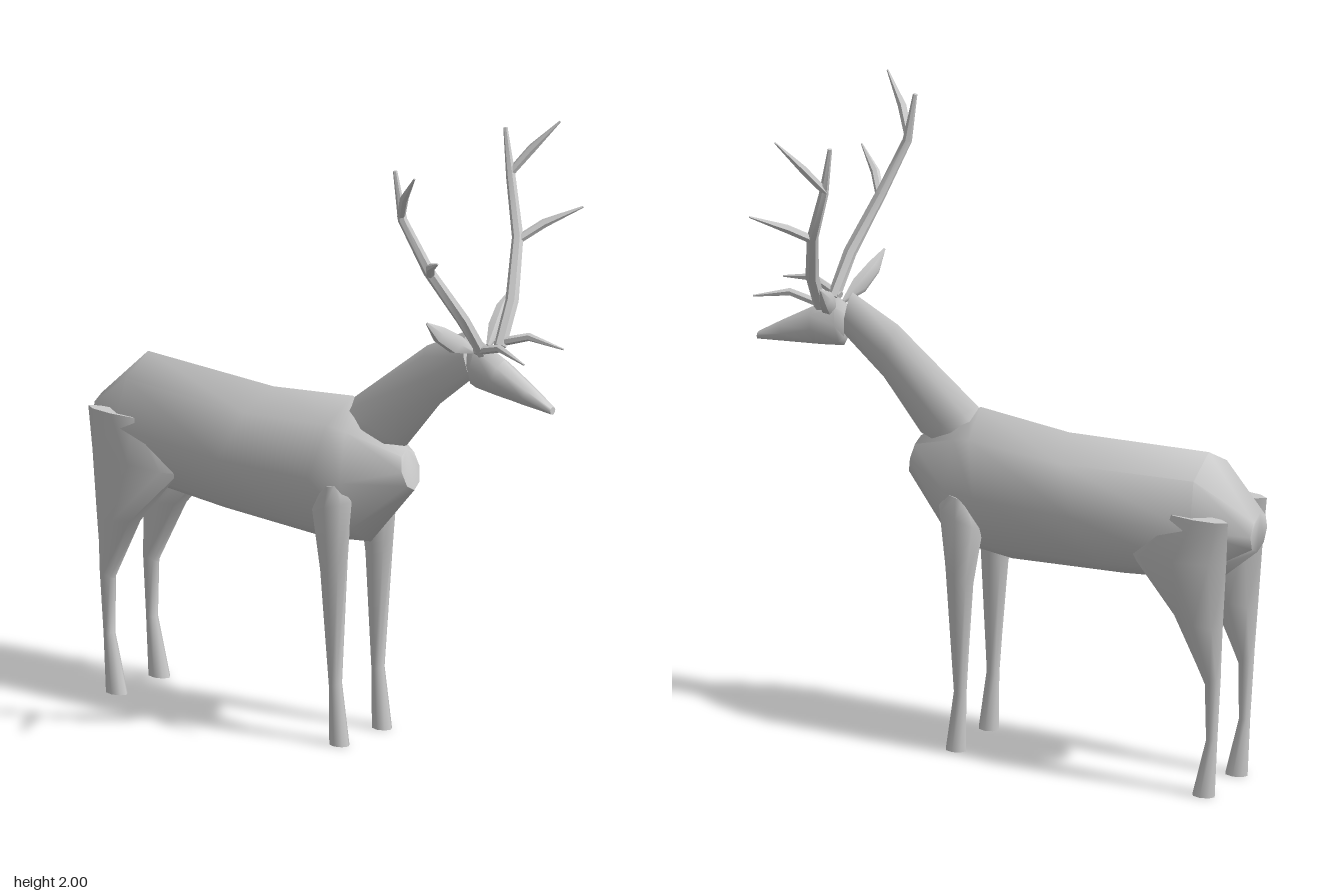
import * as THREE from 'three';
import { toCreasedNormals } from 'three/addons/utils/BufferGeometryUtils.js';

const V = (x, y, z) => new THREE.Vector3(x, y, z);

// Skin a closed surface over rings of points, with capped ends.
function skin(rings) {
  const n = rings[0].length, pos = [], idx = [];
  rings.forEach(r => r.forEach(p => pos.push(p.x, p.y, p.z)));
  for (let i = 0; i < rings.length - 1; i++) {
    for (let j = 0; j < n; j++) {
      const a = i * n + j, b = i * n + (j + 1) % n;
      idx.push(a, b, a + n, b, b + n, a + n);
    }
  }
  const last = (rings.length - 1) * n;
  for (let j = 1; j < n - 1; j++) {
    idx.push(0, j + 1, j, last, last + j, last + j + 1);
  }
  // Turn the faces outward, judged by the signed volume.
  const P = i => V(pos[i * 3], pos[i * 3 + 1], pos[i * 3 + 2]);
  let volume = 0;
  for (let k = 0; k < idx.length; k += 3) volume += P(idx[k]).dot(P(idx[k + 1]).cross(P(idx[k + 2])));
  if (volume < 0) idx.reverse();
  const g = new THREE.BufferGeometry();
  g.setAttribute('position', new THREE.Float32BufferAttribute(pos, 3));
  g.setIndex(idx);
  return toCreasedNormals(g, 0.95);
}

function ellipse(c, u, v, n) {
  return Array.from({ length: n }, (_, j) => {
    const t = j / n * Math.PI * 2;
    return c.clone().addScaledVector(u, Math.sin(t)).addScaledVector(v, Math.cos(t));
  });
}

// Each section: two opposite profile points (z, y, z, y), half width, centre x.
function loft(sections, n = 8) {
  return skin(sections.map(([z1, y1, z2, y2, w, x = 0]) => ellipse(
    V(x, (y1 + y2) / 2, (z1 + z2) / 2), V(w, 0, 0), V(0, (y1 - y2) / 2, (z1 - z2) / 2), n)));
}

// Tapered branch through points [x, y, z, radius].
function branch(points, n = 6) {
  const c = points.map(p => V(p[0], p[1], p[2]));
  return skin(c.map((p, i) => {
    const d = c[Math.min(i + 1, c.length - 1)].clone().sub(c[Math.max(i - 1, 0)]).normalize();
    const u = V(0.6, -0.4, 0.1).cross(d).normalize();
    const v = d.clone().cross(u);
    return ellipse(p, u.multiplyScalar(points[i][3]), v.multiplyScalar(points[i][3]), n);
  }));
}

export function createModel() {
  const model = new THREE.Group();
  model.name = 'stag';
  const hide = new THREE.MeshStandardMaterial({ color: 0xcccccc });
  hide.name = 'grey';
  const add = (name, geometry, parent = model) => {
    const m = new THREE.Mesh(geometry, hide);
    m.name = name;
    parent.add(m);
  };

  add('body', loft([
    [-0.88, 0.92, -0.87, 0.79, 0.055],
    [-0.70, 1.09, -0.73, 0.67, 0.155],
    [-0.21, 1.07, -0.40, 0.64, 0.162],
    [0.10, 1.10, -0.01, 0.62, 0.16],
    [0.14, 1.08, 0.17, 0.64, 0.14],
    [0.31, 0.97, 0.34, 0.84, 0.045],
  ]));
  add('neck', loft([
    [0.08, 1.07, 0.24, 0.95, 0.06],
    [0.11, 1.10, 0.31, 0.98, 0.058],
    [0.39, 1.32, 0.44, 1.14, 0.045],
    [0.55, 1.40, 0.57, 1.25, 0.037],
  ]));
  add('head', loft([
    [0.56, 1.35, 0.57, 1.24, 0.03],
    [0.60, 1.375, 0.58, 1.22, 0.047],
    [0.69, 1.33, 0.66, 1.21, 0.048],
    [0.80, 1.265, 0.77, 1.20, 0.033],
    [0.88, 1.215, 0.88, 1.19, 0.013],
  ]));

  for (const [side, s] of [['left', 1], ['right', -1]]) {
    // Ears: flat leaves swept out and up.
    const ear = [[0.035, 1.35, 0.60, 0.008], [0.10, 1.385, 0.58, 0.032],
      [0.16, 1.43, 0.56, 0.027], [0.21, 1.475, 0.55, 0.004]];
    add(side + 'Ear', skin(ear.map(([x, y, z, w]) => ellipse(
      V(x * s, y, z), V(0.65 * w * s, -0.8 * w, 0), V(0.1 * w * s, 0.1 * w, 0.75 * w), 6))));

    // Antlers: one beam with three tines.
    const antler = new THREE.Group();
    antler.name = side + 'Antler';
    model.add(antler);
    const grow = (name, pts) => add(name, branch(pts.map(([x, y, z, r]) => [x * s, y, z, r])), antler);
    grow('beam', [[0.045, 1.355, 0.64, 0.02], [0.125, 1.48, 0.625, 0.021], [0.225, 1.65, 0.57, 0.018],
      [0.275, 1.82, 0.505, 0.015], [0.28, 1.975, 0.48, 0.007]]);
    grow('browTine', [[0.05, 1.36, 0.62, 0.014], [0.075, 1.395, 0.73, 0.013], [0.10, 1.37, 0.845, 0.003]]);
    grow('middleTine', [[0.22, 1.64, 0.57, 0.014], [0.29, 1.69, 0.625, 0.014], [0.37, 1.74, 0.715, 0.003]]);
    grow('upperTine', [[0.275, 1.83, 0.50, 0.013], [0.325, 1.91, 0.55, 0.014], [0.37, 2.0, 0.625, 0.003]]);

    // Legs, from the top down to the hoof.
    add(side + 'FrontLeg', loft([
      [0.145, 0.85, 0.08, 0.84, 0.022, 0.125 * s],
      [0.185, 0.80, 0.03, 0.75, 0.041, 0.117 * s],
      [0.163, 0.60, 0.065, 0.56, 0.035, 0.115 * s],
      [0.135, 0.20, 0.095, 0.18, 0.021, 0.108 * s],
      [0.165, 0, 0.095, 0, 0.027, 0.108 * s],
    ]));
    add(side + 'HindLeg', loft([
      [-0.62, 0.92, -0.835, 0.92, 0.027, 0.128 * s],
      [-0.49, 0.76, -0.825, 0.78, 0.043, 0.12 * s],
      [-0.64, 0.58, -0.81, 0.56, 0.036, 0.116 * s],
      [-0.745, 0.37, -0.80, 0.40, 0.023, 0.11 * s],
      [-0.75, 0.19, -0.785, 0.19, 0.02, 0.108 * s],
      [-0.70, 0, -0.778, 0, 0.027, 0.108 * s],
    ]));
  }
  return model;
}
